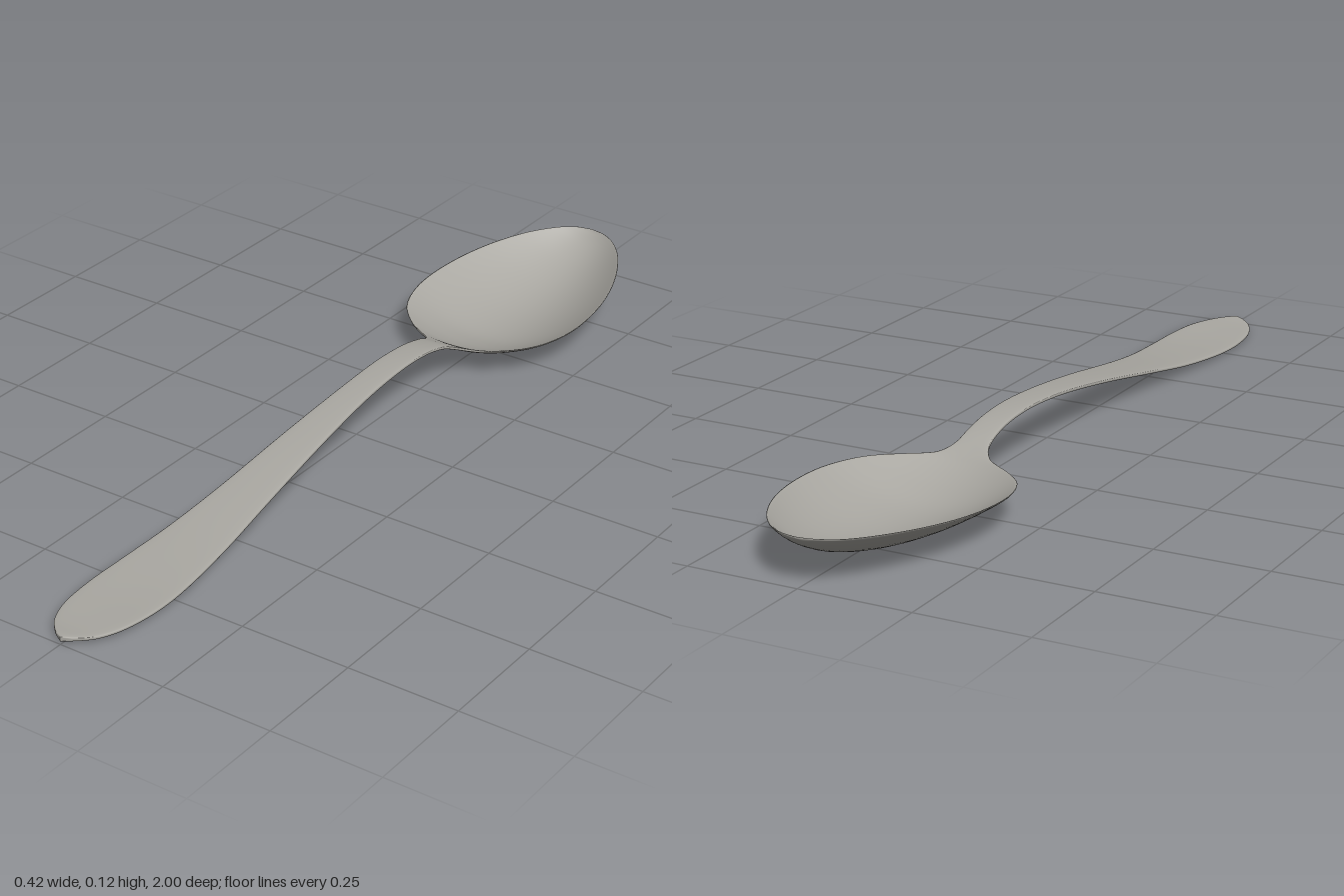
import * as THREE from 'three';

// Stations from handle tip to bowl tip: z, half width, edge height, bowl depth, thickness
const STATIONS = [
  [1.0, 0.0, 0.015, 0, 0.011],
  [0.985, 0.025, 0.015, 0, 0.011],
  [0.95, 0.056, 0.013, 0.001, 0.011],
  [0.89, 0.079, 0.012, 0.002, 0.011],
  [0.80, 0.089, 0.011, 0.002, 0.011],
  [0.70, 0.086, 0.014, 0.001, 0.011],
  [0.56, 0.074, 0.026, 0, 0.011],
  [0.40, 0.060, 0.050, 0, 0.011],
  [0.20, 0.047, 0.083, 0, 0.011],
  [0.02, 0.037, 0.107, 0, 0.011],
  [-0.12, 0.034, 0.117, 0, 0.010],
  [-0.22, 0.033, 0.113, 0, 0.010],
  [-0.29, 0.034, 0.099, 0, 0.010],
  [-0.33, 0.040, 0.083, 0.001, 0.010],
  [-0.36, 0.060, 0.071, 0.004, 0.009],
  [-0.38, 0.090, 0.068, 0.013, 0.008],
  [-0.41, 0.132, 0.069, 0.027, 0.007],
  [-0.46, 0.177, 0.073, 0.047, 0.006],
  [-0.53, 0.204, 0.077, 0.067, 0.006],
  [-0.61, 0.212, 0.082, 0.076, 0.006],
  [-0.71, 0.202, 0.088, 0.078, 0.006],
  [-0.81, 0.174, 0.095, 0.071, 0.006],
  [-0.90, 0.131, 0.101, 0.053, 0.006],
  [-0.96, 0.085, 0.104, 0.029, 0.005],
  [-0.99, 0.042, 0.106, 0.010, 0.005],
  [-1.0, 0.0, 0.106, 0, 0.004],
];

const spline = (pick) => new THREE.CatmullRomCurve3(
  STATIONS.map((s) => new THREE.Vector3(...pick(s))), false, 'catmullrom', 0.5);

// Closed skin swept along the spoon: a dished section with rounded edges
function spoonGeometry(rings = 150, sides = 44) {
  const edge = spline(([z, w, y]) => [w, y, z]);
  const form = spline(([z, , , depth, thick]) => [depth, thick, z]);
  const positions = [], index = [];
  for (let i = 0; i <= rings; i++) {
    const e = edge.getPoint(i / rings), f = form.getPoint(i / rings);
    for (let j = 0; j < sides; j++) {
      const a = (j / sides) * Math.PI * 2;
      const u = Math.cos(a), s = Math.sin(a);
      const skin = Math.sign(s) * Math.abs(s) ** 0.35 * f.y / 2;
      positions.push(Math.max(e.x, 0) * u, e.y - f.x * (1 - u * u) + skin, e.z);
    }
  }
  for (let i = 0; i < rings; i++) {
    for (let j = 0; j < sides; j++) {
      const a = i * sides + j, b = i * sides + (j + 1) % sides;
      index.push(a, a + sides, b, b, a + sides, b + sides);
    }
  }
  const geometry = new THREE.BufferGeometry();
  geometry.setAttribute('position', new THREE.Float32BufferAttribute(positions, 3));
  geometry.setIndex(index);
  geometry.computeVertexNormals();
  // Rest the lowest point on the ground
  geometry.computeBoundingBox();
  geometry.translate(0, -geometry.boundingBox.min.y, 0);
  return geometry;
}

export function createModel() {
  const steel = new THREE.MeshStandardMaterial({ color: 0xa9a7a1 });
  steel.name = 'brushed steel';
  const spoon = new THREE.Mesh(spoonGeometry(), steel);
  spoon.name = 'spoonBowlAndHandle';
  const group = new THREE.Group();
  group.name = 'spoon';
  group.add(spoon);
  return group;
}
